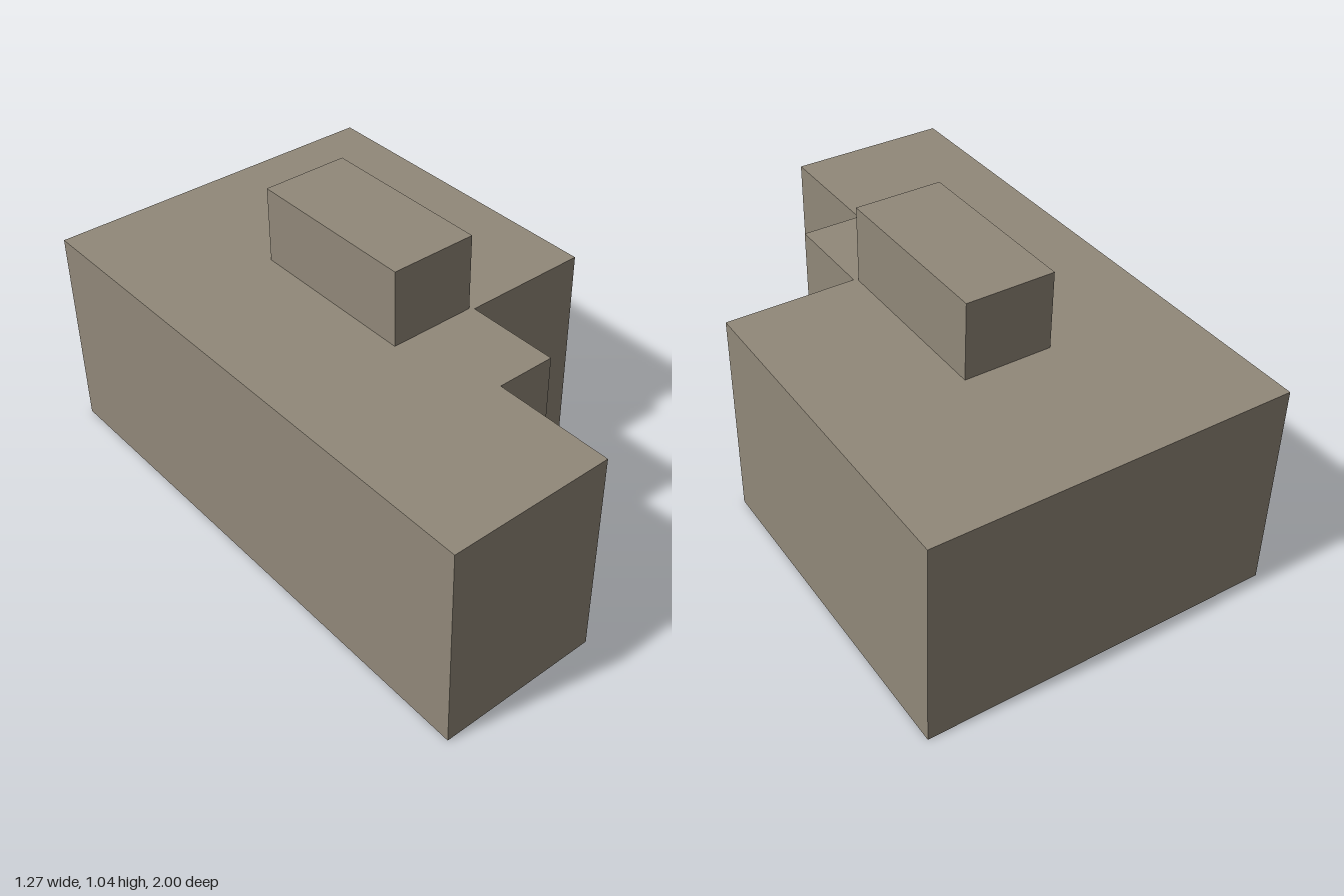
import * as THREE from 'three';
import { mergeGeometries } from 'three/addons/utils/BufferGeometryUtils.js';

// Open-bottomed shell: upright walls around a plan outline, closed by a flat roof.
// The outline lists [x, z], counterclockwise as seen from above.
function shell(outline, y0, y1) {
  const pos = [];
  outline.forEach(([ax, az], i) => {
    const [bx, bz] = outline[(i + 1) % outline.length];
    pos.push(ax, y0, az, bx, y0, bz, bx, y1, bz);
    pos.push(ax, y0, az, bx, y1, bz, ax, y1, az);
  });
  const walls = new THREE.BufferGeometry();
  walls.setAttribute('position', new THREE.Float32BufferAttribute(pos, 3));
  walls.computeVertexNormals();

  const shape = new THREE.Shape(outline.map(([x, z]) => new THREE.Vector2(x, -z)));
  const roof = new THREE.ShapeGeometry(shape).toNonIndexed();
  roof.deleteAttribute('uv');
  roof.rotateX(-Math.PI / 2).translate(0, y1, 0);
  return mergeGeometries([walls, roof]);
}

export function createModel() {
  const model = new THREE.Group();
  model.name = 'building';
  const stone = new THREE.MeshStandardMaterial({ color: 0x918879, side: THREE.DoubleSide });
  stone.name = 'warm grey stone';

  const add = (name, outline, y0, y1) => {
    const mesh = new THREE.Mesh(shell(outline, y0, y1), stone);
    mesh.name = name;
    model.add(mesh);
  };

  // Main block, stepping back twice along the front
  add('mainBlock', [
    [-0.635, 1], [-0.05, 1], [-0.05, 0.565], [0.165, 0.565],
    [0.165, 0.22], [0.632, 0.22], [0.634, -0.995], [-0.635, -1],
  ], 0, 0.762);

  // Small raised block on the roof
  add('roofBlock', [
    [-0.163, 0.208], [0.153, 0.208], [0.153, -0.437], [-0.163, -0.437],
  ], 0.762, 1.04);

  return model;
}
